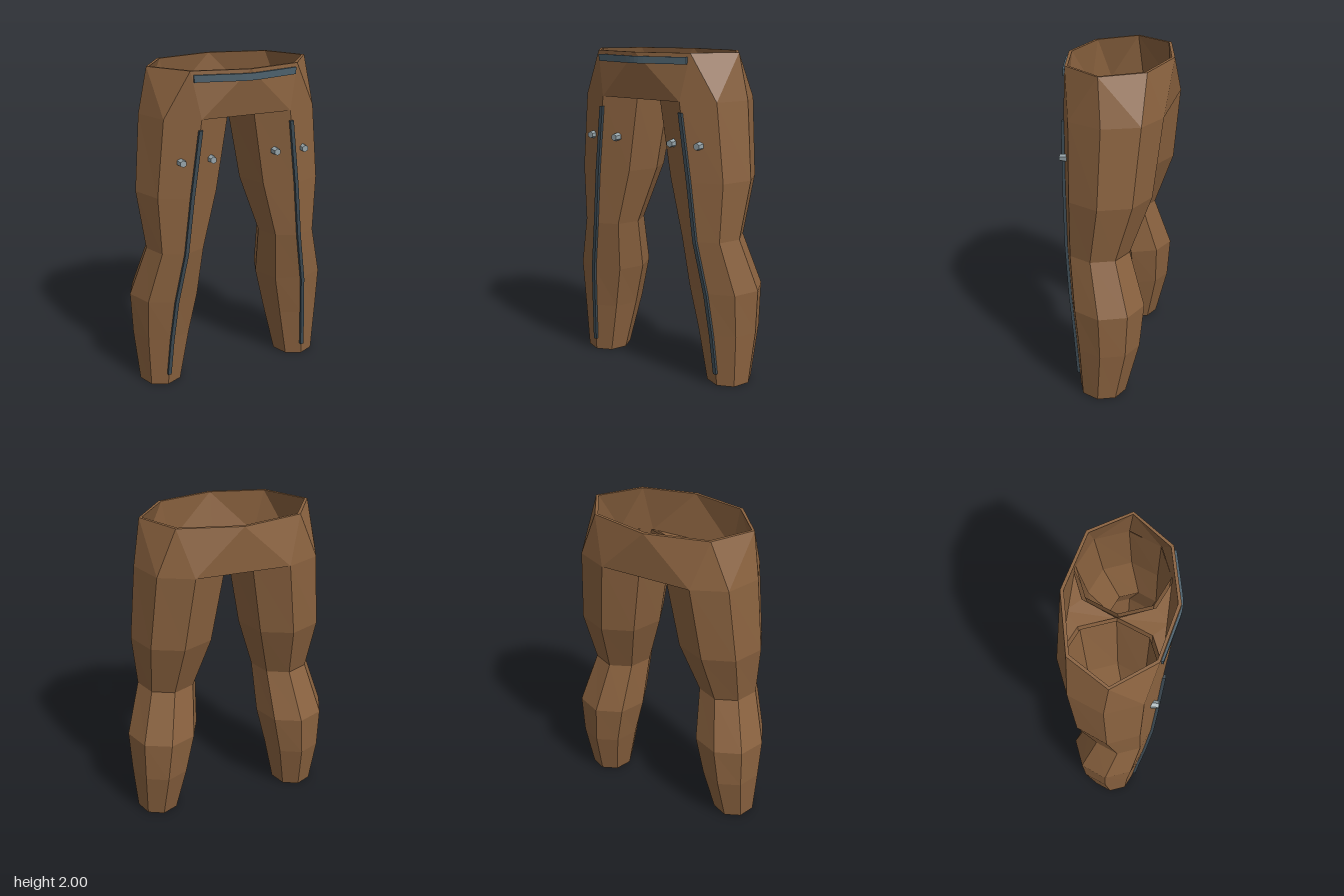
import * as THREE from 'three';

const mat = (color) => new THREE.MeshStandardMaterial({ color, flatShading: true, side: THREE.DoubleSide });

// Leg sections: y, centre x, half width, centre z, half depth
const SECTIONS = [
  [0, 0.48, 0.137, -0.005, 0.145],
  [0.33, 0.457, 0.187, -0.03, 0.2],
  [0.6, 0.431, 0.224, -0.025, 0.226],
  [0.92, 0.375, 0.185, 0.044, 0.192],
  [1.27, 0.338, 0.258, -0.01, 0.26],
  [1.73, 0.278, 0.277, -0.025, 0.29],
];

function sectionAt(y) {
  const i = Math.max(1, SECTIONS.findIndex((s) => s[0] >= y));
  const [a, b] = [SECTIONS[i - 1], SECTIONS[i]];
  const t = (y - a[0]) / (b[0] - a[0]);
  return a.map((v, k) => v + (b[k] - v) * t);
}

// One point of a section ring; angle step k of 8, inset moves it inwards
function ringPoint([y, cx, rx, cz, rz], k, side = 1, inset = 0) {
  const a = (k * Math.PI) / 4;
  return [side * cx + (rx - inset) * Math.cos(a), y, cz + (rz - inset) * Math.sin(a)];
}

function triangleGeometry(tris) {
  const g = new THREE.BufferGeometry();
  g.setAttribute('position', new THREE.Float32BufferAttribute(tris.flat(2), 3));
  g.computeVertexNormals();
  return g;
}

// Joins rings of points into a skin, with optional end caps
function loft(rings, capped = false) {
  const tris = [], n = rings[0].length;
  for (let i = 0; i < rings.length - 1; i++) {
    for (let j = 0; j < n; j++) {
      const k = (j + 1) % n;
      const a = rings[i][j], b = rings[i][k], c = rings[i + 1][k], d = rings[i + 1][j];
      tris.push([a, d, c], [a, c, b]);
    }
  }
  if (capped) {
    const first = rings[0], last = rings[rings.length - 1];
    for (let j = 1; j < n - 1; j++) {
      tris.push([first[0], first[j], first[j + 1]], [last[0], last[j + 1], last[j]]);
    }
  }
  return triangleGeometry(tris);
}

// Leg: inner skin going down, hem rim, outer skin going up
function legGeometry(side) {
  const ring = (s, inset) => Array.from({ length: 8 }, (_, k) => ringPoint(s, k, side, inset));
  const inner = [...SECTIONS].reverse().map((s) => ring(s, 0.02));
  return loft([...inner, ...SECTIONS.map((s) => ring(s, 0))]);
}

// Pelvis: faceted band from the leg tops to the waist, with a crotch floor
function pelvisGeometry() {
  const waist = [[0, 2, 0.31], [0.33, 2, 0.235], [0.505, 2, 0], [0.36, 2, -0.235], [0, 2, -0.32]];
  const top = SECTIONS[SECTIONS.length - 1];
  const hip = [2, 1, 0, -1, -2].map((k) => ringPoint(top, k));
  const shrink = ([x, y, z]) => [x * 0.965, y, z * 0.94];
  const half = [];
  for (let i = 0; i < 4; i++) {
    const band = [[waist[i], hip[i], waist[i + 1]], [hip[i], hip[i + 1], waist[i + 1]]];
    // keep the facets fanned from the corner points at the back
    if (i >= 2) {
      band[0] = [waist[i], hip[i], hip[i + 1]];
      band[1] = [waist[i], hip[i + 1], waist[i + 1]];
    }
    half.push(...band);
    half.push(...band.map((t) => t.map(shrink).reverse()));
    const [a, b] = [waist[i], waist[i + 1]];
    half.push([a, b, shrink(b)], [a, shrink(b), shrink(a)]);
  }
  // middle panels and floor between the two legs
  [[0, 3, 1], [4, 5, -1]].forEach(([h, k, dir]) => {
    const w = waist[h], p = hip[h], mid = [0, p[1], p[2]];
    const corner = ringPoint(top, k), crotch = [0, 1.715, -0.025];
    const panel = [w, mid, p];
    const tris = [panel, panel.map(shrink).reverse(), [mid, corner, p], [mid, crotch, corner]];
    half.push(...(dir > 0 ? tris : tris.map((t) => [...t].reverse())));
  });
  const mirrored = half.map((t) => t.map(([x, y, z]) => [-x, y, z]).reverse());
  return triangleGeometry([...half, ...mirrored]);
}

// Seam: thin square strip following the front ridge of the leg
function seamGeometry(side) {
  const rings = [0.08, 0.33, 0.6, 0.92, 1.27, 1.67].map((y) => {
    const [, cx, , cz, rz] = sectionAt(y);
    const x = side * cx, z = cz + rz, w = 0.011;
    return [[x + w, y, z - 0.01], [x + w, y, z + 0.014], [x - w, y, z + 0.014], [x - w, y, z - 0.01]];
  });
  return loft(rings, true);
}

// Waist strip: bent band lying along the front of the waist
function waistStripGeometry() {
  const s = new THREE.Shape();
  s.moveTo(-0.315, -0.232);
  s.lineTo(-0.06, -0.292);
  s.quadraticCurveTo(0, -0.304, 0.06, -0.292);
  s.lineTo(0.315, -0.232);
  s.lineTo(0.315, -0.253);
  s.lineTo(0.06, -0.312);
  s.quadraticCurveTo(0, -0.325, -0.06, -0.312);
  s.lineTo(-0.315, -0.253);
  s.closePath();
  const g = new THREE.ExtrudeGeometry(s, { depth: 0.04, bevelEnabled: false, curveSegments: 4 });
  return g.rotateX(-Math.PI / 2).translate(0, 1.938, 0);
}

export function createModel() {
  const model = new THREE.Group();
  model.name = 'trousers';
  const leather = mat(0x8a623f), strip = mat(0x4c606c), thread = mat(0x3c4a53), metal = mat(0x95a3a8);
  const add = (name, geometry, material) => {
    const mesh = new THREE.Mesh(geometry, material);
    mesh.name = name;
    model.add(mesh);
    return mesh;
  };

  add('pelvis', pelvisGeometry(), leather);
  add('waistStrip', waistStripGeometry(), strip);

  for (const side of [1, -1]) {
    const label = side > 0 ? 'left' : 'right';
    add(label + 'Leg', legGeometry(side), leather);
    add(label + 'Seam', seamGeometry(side), thread);
    // pair of rivets on the thigh
    for (const x of [0.205, 0.39]) {
      const rivet = add(label + 'Rivet', new THREE.CylinderGeometry(0.021, 0.025, 0.045, 6), metal);
      rivet.rotation.x = Math.PI / 2;
      rivet.position.set(side * x, 1.485, 0.236);
    }
  }
  return model;
}
